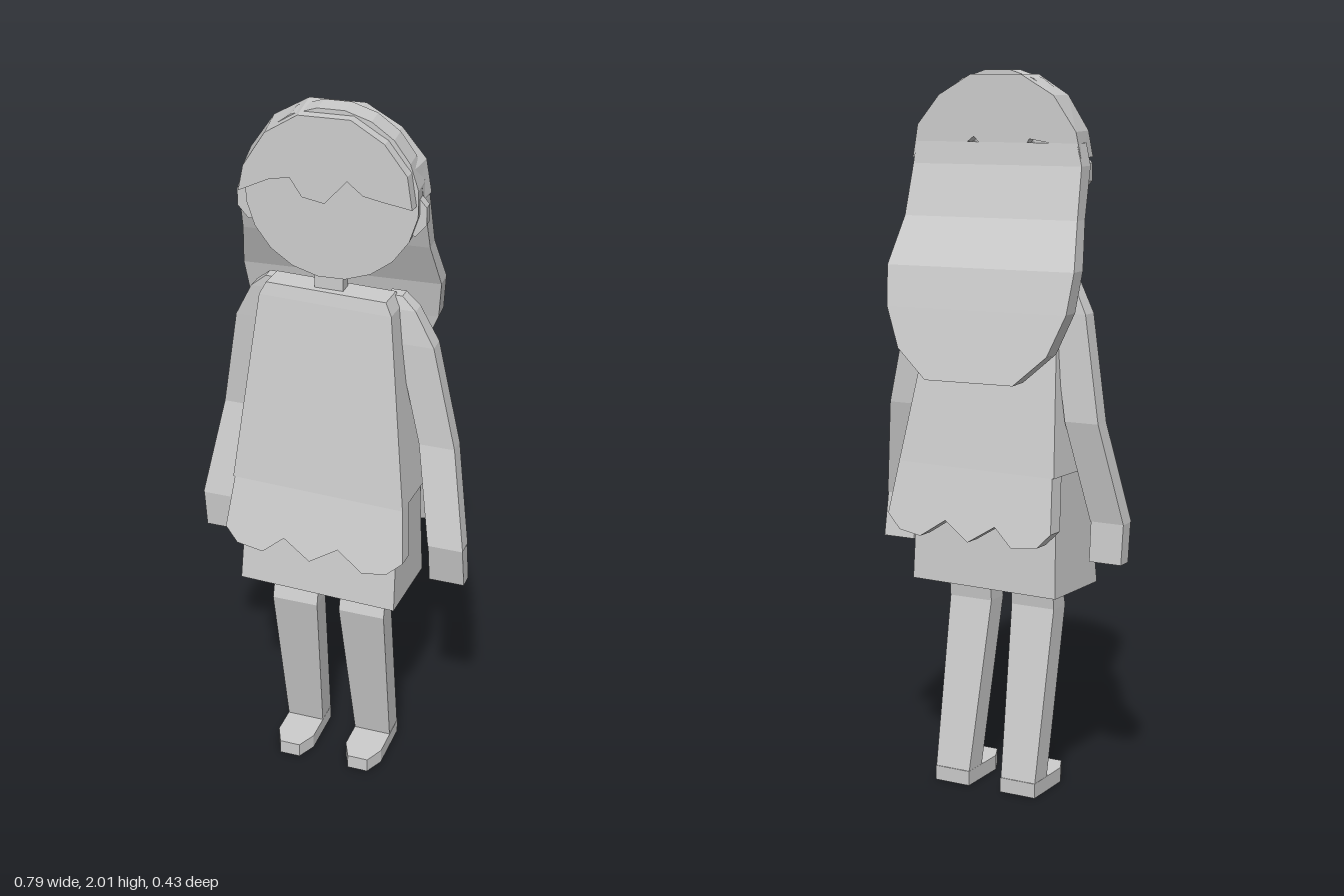
import * as THREE from 'three';

const grey = new THREE.MeshStandardMaterial({ color: 0xcccccc });
grey.name = 'plain grey';

// Faceted solid through rectangular sections [x, y, zFront, zBack, halfWidth], bottom to top
function loft(sections) {
  const rings = sections.map(([x, y, f, b, w]) => [
    [x - w, y, f], [x + w, y, f], [x + w, y, b], [x - w, y, b],
  ]);
  const pos = [];
  const quad = (a, b, c, d) => pos.push(...a, ...b, ...c, ...a, ...c, ...d);
  for (let i = 0; i < rings.length - 1; i++) {
    for (let k = 0; k < 4; k++) {
      const n = (k + 1) % 4;
      quad(rings[i][k], rings[i][n], rings[i + 1][n], rings[i + 1][k]);
    }
  }
  const bottom = rings[0], top = rings[rings.length - 1];
  quad(bottom[3], bottom[2], bottom[1], bottom[0]);
  quad(...top);
  const geo = new THREE.BufferGeometry();
  geo.setAttribute('position', new THREE.Float32BufferAttribute(pos, 3));
  geo.computeVertexNormals();
  return geo;
}

// Flat outline given thickness along z, starting at zBack
function plate(points, zBack, depth) {
  const shape = new THREE.Shape(points.map(([x, y]) => new THREE.Vector2(x, y)));
  const geo = new THREE.ExtrudeGeometry(shape, { depth, bevelEnabled: false });
  return geo.translate(0, 0, zBack);
}

// Move vertices by a rule and refresh the facet normals
function reshape(geo, rule) {
  const p = geo.attributes.position;
  for (let i = 0; i < p.count; i++) p.setXYZ(i, ...rule(p.getX(i), p.getY(i), p.getZ(i)));
  geo.computeVertexNormals();
  return geo;
}

function circle(x, y, rx, ry, sides) {
  return Array.from({ length: sides }, (_, i) => {
    const a = ((i + 0.5) / sides) * Math.PI * 2;
    return [x + Math.cos(a) * rx, y + Math.sin(a) * ry];
  });
}

function add(parent, name, geo) {
  const mesh = new THREE.Mesh(geo, grey);
  mesh.name = name;
  parent.add(mesh);
  return mesh;
}

export function createModel() {
  const model = new THREE.Group();
  model.name = 'girl';

  // Head, turned slightly to one side
  const head = new THREE.Group();
  head.name = 'head';
  head.rotation.y = 0.07;
  model.add(head);
  add(head, 'face', plate(circle(-0.005, 1.78, 0.232, 0.235, 20), 0.01, 0.067));
  for (const s of [-1, 1]) {
    add(head, s < 0 ? 'rightEar' : 'leftEar', plate(circle(-0.01 + s * 0.205, 1.742, 0.052, 0.062, 8), 0.03, 0.03));
  }

  // Hair cap with a zigzag fringe, narrower at the front
  const cap = [
    [-0.25, 1.78], [-0.235, 1.85], [-0.17, 1.945], [-0.075, 2], [0.075, 2], [0.17, 1.945],
    [0.235, 1.865], [0.25, 1.775],
    [0.16, 1.79], [0.11, 1.8], [0.065, 1.835], [0, 1.768], [-0.065, 1.78], [-0.1, 1.83], [-0.16, 1.82],
  ];
  const capMesh = add(head, 'hairCap', reshape(plate(cap, -0.025, 0.132), (x, y, z) => [
    x * (1 - 0.08 * (z + 0.025) / 0.132), y, z,
  ]));
  capMesh.position.x = -0.015;

  // Long hair sweeping back and down
  add(head, 'longHair', loft([
    [-0.02, 1.19, -0.14, -0.207, 0.13],
    [-0.02, 1.27, -0.125, -0.19, 0.22],
    [-0.02, 1.38, -0.105, -0.166, 0.265],
    [-0.02, 1.49, -0.08, -0.14, 0.276],
    [-0.02, 1.62, -0.02, -0.073, 0.256],
    [-0.02, 1.76, 0.03, -0.032, 0.25],
    [-0.015, 1.82, 0.04, -0.025, 0.238],
  ]));

  add(model, 'neck', loft([[-0.013, 1.48, 0.06, 0.02, 0.04], [-0.013, 1.58, 0.06, 0.02, 0.04]]));

  // Blouse and skirt, turned slightly the other way
  const clothes = new THREE.Group();
  clothes.name = 'clothes';
  clothes.rotation.y = -0.045;
  model.add(clothes);
  add(clothes, 'blouse', loft([
    [-0.005, 0.935, 0.165, -0.11, 0.25],
    [-0.012, 1.47, 0.087, 0, 0.188],
    [-0.012, 1.505, 0.08, 0.005, 0.17],
  ]));
  add(clothes, 'skirt', loft([
    [-0.013, 0.595, 0.152, -0.082, 0.232],
    [-0.01, 0.96, 0.11, -0.06, 0.222],
  ]));

  // Scalloped hems flaring outward at front and back
  const hem = [
    [-0.25, 0.935], [-0.266, 0.79], [-0.228, 0.75], [-0.15, 0.74], [-0.09, 0.79], [-0.01, 0.74],
    [0.07, 0.79], [0.145, 0.74], [0.215, 0.75], [0.26, 0.79], [0.245, 0.935],
  ];
  for (const s of [1, -1]) {
    const geo = plate(hem, s > 0 ? 0.115 : -0.11, 0.05);
    add(clothes, s > 0 ? 'frontHem' : 'backHem', reshape(geo, (x, y, z) => [x, y, z + s * (0.935 - y) * 0.24]));
  }

  // Arms: sleeve bent at the elbow, then a flat hand
  const limb = (name, parts) => {
    const group = new THREE.Group();
    group.name = name;
    for (const [part, sections] of Object.entries(parts)) add(group, part, loft(sections));
    model.add(group);
    return group;
  };
  limb('leftArm', {
    sleeve: [
      [0.342, 0.8, 0.115, 0.065, 0.05],
      [0.293, 1.08, 0.055, 0.005, 0.05],
      [0.225, 1.37, 0.045, -0.005, 0.05],
      [0.185, 1.465, 0.035, -0.008, 0.035],
      [0.16, 1.5, 0.025, -0.01, 0.02],
    ],
    hand: [[0.342, 0.675, 0.09, 0.045, 0.05], [0.342, 0.8, 0.113, 0.067, 0.049]],
  });
  limb('rightArm', {
    sleeve: [
      [-0.347, 0.8, 0.055, 0.005, 0.05],
      [-0.295, 1.08, 0, -0.05, 0.05],
      [-0.245, 1.37, 0.02, -0.03, 0.05],
      [-0.212, 1.465, 0.025, -0.018, 0.035],
      [-0.185, 1.5, 0.025, -0.01, 0.02],
    ],
    hand: [[-0.345, 0.688, 0.045, 0, 0.048], [-0.347, 0.8, 0.053, 0.007, 0.049]],
  });

  // Legs bent at the knee, with flat pointed feet
  for (const s of [-1, 1]) {
    const leg = limb(s < 0 ? 'rightLeg' : 'leftLeg', {
      leg: [
        [s * 0.106, 0.03, 0.015, -0.057, 0.054],
        [s * 0.1, 0.525, 0.112, 0.042, 0.067],
        [s * 0.1, 0.64, 0.08, 0.03, 0.066],
      ],
    });
    const sole = [
      [-0.055, 0.057], [-0.055, -0.1], [-0.03, -0.155], [0.03, -0.155], [0.055, -0.1], [0.055, 0.057],
    ];
    const foot = add(leg, 'foot', plate(sole, 0, 0.042).rotateX(-Math.PI / 2));
    foot.position.x = s * 0.106;
  }
  return model;
}
